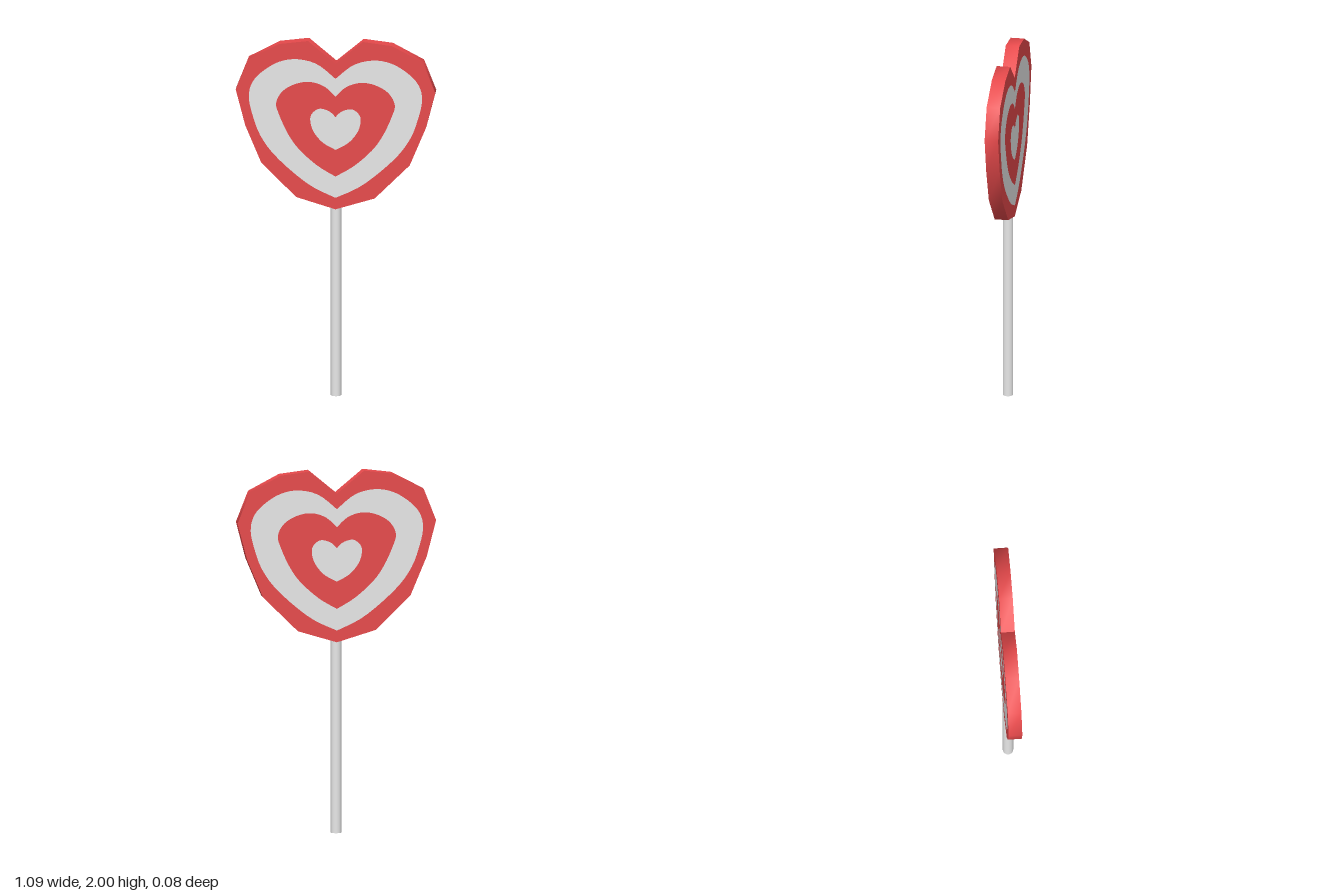
import * as THREE from 'three';
import { toCreasedNormals } from 'three/addons/utils/BufferGeometryUtils.js';

const HALF = 0.0375; // half thickness of the candy

// Right halves of the heart outlines, from the notch round to the tip
const OUTLINE = [[0, 1.875], [0.15, 2], [0.31, 1.98], [0.48, 1.89], [0.547, 1.72],
  [0.495, 1.52], [0.407, 1.31], [0.215, 1.12], [0, 1.055]];
const RING_OUTER = [[0, 1.79], [0.1, 1.87], [0.21, 1.897], [0.31, 1.88], [0.4, 1.825],
  [0.457, 1.76], [0.475, 1.68], [0.455, 1.58], [0.41, 1.46], [0.32, 1.34], [0.15, 1.195], [0, 1.12]];
const RING_INNER = [[0, 1.69], [0.06, 1.745], [0.14, 1.77], [0.22, 1.757], [0.29, 1.715],
  [0.325, 1.65], [0.31, 1.585], [0.26, 1.475], [0.2, 1.39], [0.1, 1.3], [0, 1.24]];
const CENTRE = [[0, 1.575], [0.035, 1.607], [0.09, 1.62], [0.13, 1.59], [0.138, 1.55],
  [0.12, 1.49], [0.07, 1.43], [0, 1.39]];

// Whole heart as points: optionally smoothed half, then mirrored
function heart(half, smooth) {
  let pts = half.map(([x, y]) => new THREE.Vector2(x, y));
  if (smooth) pts = new THREE.SplineCurve(pts).getPoints(40);
  const mirrored = pts.slice(1, -1).reverse().map((p) => new THREE.Vector2(-p.x, p.y));
  return [...pts, ...mirrored];
}

export function createModel() {
  const red = new THREE.MeshStandardMaterial({ color: 0xee4c4e });
  red.name = 'candyRed';
  const white = new THREE.MeshStandardMaterial({ color: 0xf2f2f2 });
  white.name = 'white';

  const model = new THREE.Group();
  model.name = 'lollipop';
  const add = (name, geometry, material) => {
    const mesh = new THREE.Mesh(geometry, material);
    mesh.name = name;
    model.add(mesh);
    return mesh;
  };

  // Candy slab: soft rim, sharp front and back edges
  const slab = new THREE.ExtrudeGeometry(new THREE.Shape(heart(OUTLINE, false)),
    { depth: HALF * 2, bevelEnabled: false });
  slab.translate(0, 0, -HALF);
  add('candyHeart', toCreasedNormals(slab, Math.PI * 0.3), red);

  // White heart ring and centre on both faces
  const ring = new THREE.Shape(heart(RING_OUTER, true));
  ring.holes.push(new THREE.Path(heart(RING_INNER, true)));
  const centre = new THREE.Shape(heart(CENTRE, true));
  for (const side of ['front', 'back']) {
    for (const [name, shape] of [['HeartRing', ring], ['HeartCentre', centre]]) {
      const inlay = add(side + name, new THREE.ShapeGeometry(shape), white);
      inlay.position.z = (side === 'front' ? 1 : -1) * (HALF + 0.001);
      if (side === 'back') inlay.rotation.y = Math.PI;
    }
  }

  // Stick, its top set into the candy
  const stick = add('stick', new THREE.CylinderGeometry(0.029, 0.029, 1.1, 20), white);
  stick.position.y = 0.55;

  return model;
}
